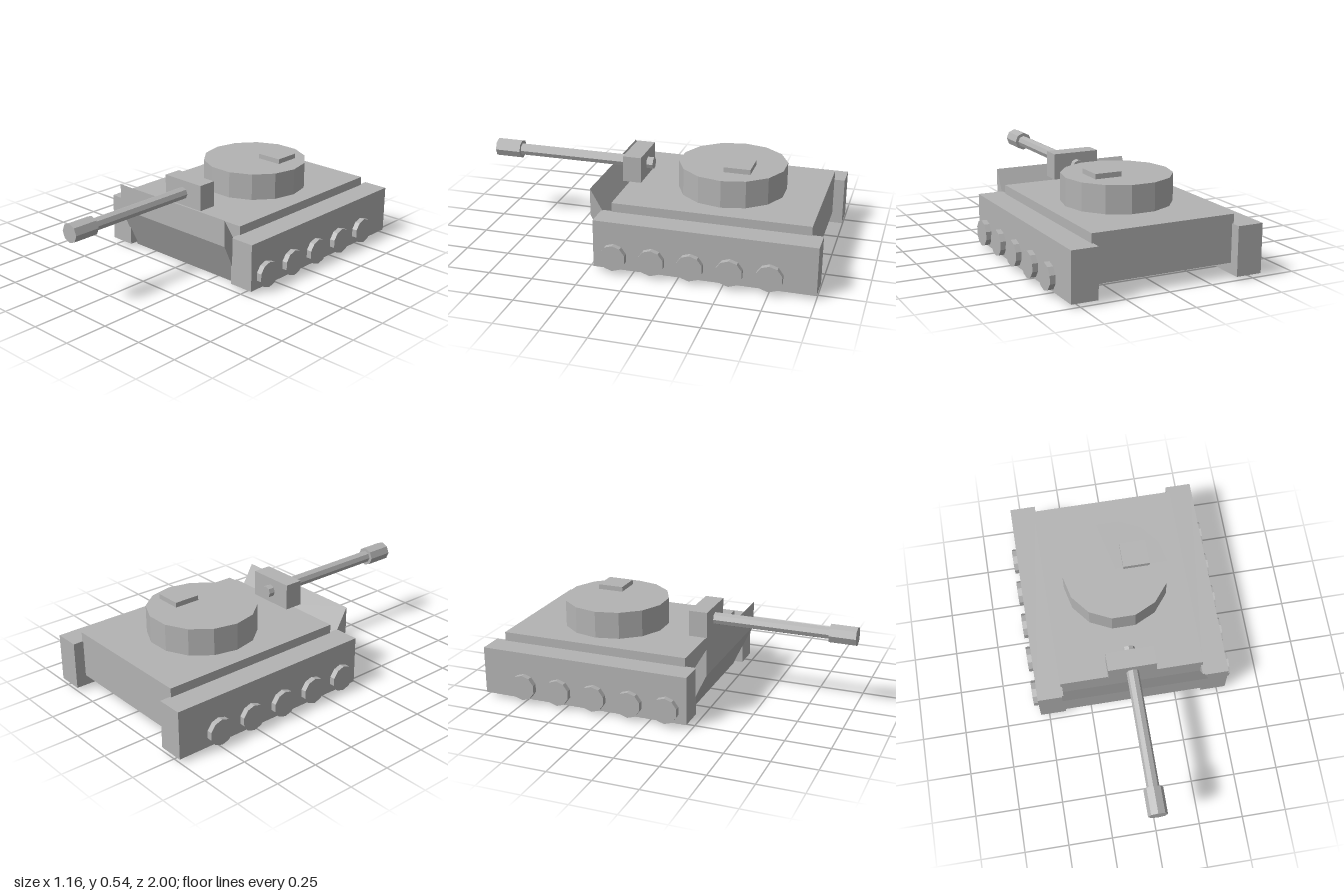
import * as THREE from 'three';

export function createModel() {
  const model = new THREE.Group();
  model.name = 'tank';
  const grey = new THREE.MeshStandardMaterial({ color: 0xb3b3b3, flatShading: true });
  grey.name = 'plain grey';

  const add = (name, geometry, x = 0, y = 0, z = 0) => {
    const mesh = new THREE.Mesh(geometry, grey);
    mesh.name = name;
    mesh.position.set(x, y, z);
    model.add(mesh);
    return mesh;
  };
  // box given by its limits on each axis
  const box = (name, x0, x1, y0, y1, z0, z1) =>
    add(name, new THREE.BoxGeometry(x1 - x0, y1 - y0, z1 - z0),
      (x0 + x1) / 2, (y0 + y1) / 2, (z0 + z1) / 2);
  // eight-sided rod along z
  const rod = (name, radius, z0, z1) =>
    add(name, new THREE.CylinderGeometry(radius, radius, z1 - z0, 8).rotateX(Math.PI / 2),
      0, 0.437, (z0 + z1) / 2);

  // hull
  box('hull', -0.41, 0.41, 0.08, 0.343, -0.94, 0.16);

  // sloped front plate: profile in z and y, extruded across the width
  const profile = new THREE.Shape([
    [0.16, 0], [0.282, 0.26], [0.282, 0.412], [0.16, 0.2],
  ].map(([z, y]) => new THREE.Vector2(z, y)));
  const plate = new THREE.ExtrudeGeometry(profile, { depth: 0.82, bevelEnabled: false });
  plate.rotateY(-Math.PI / 2).translate(0.41, 0, 0);
  add('frontPlate', plate);

  // tracks and road wheels, mirrored
  for (const side of [-1, 1]) {
    const label = side > 0 ? 'left' : 'right';
    add(label + 'Track', new THREE.BoxGeometry(0.148, 0.272, 1.22), side * 0.475, 0.156, -0.39);
    for (let i = 0; i < 5; i++) {
      const wheel = new THREE.CylinderGeometry(0.074, 0.074, 0.06, 10);
      wheel.rotateY(Math.PI / 2).rotateZ(Math.PI / 2);
      add(label + 'Wheel' + (i + 1), wheel, side * 0.55, 0.094, 0.104 - i * 0.214);
    }
  }

  // turret and hatch
  const turret = new THREE.CylinderGeometry(0.304, 0.304, 0.157, 14).rotateY(Math.PI / 2);
  add('turret', turret, 0, 0.4185, -0.422);
  box('hatch', 0.045, 0.197, 0.507, 0.535, -0.56, -0.41);

  // gun
  box('gunMantlet', -0.137, 0.137, 0.364, 0.512, 0.077, 0.183);
  rod('gunBarrel', 0.035, 0.04, 0.86);
  rod('muzzle', 0.054, 0.85, 1);

  return model;
}
